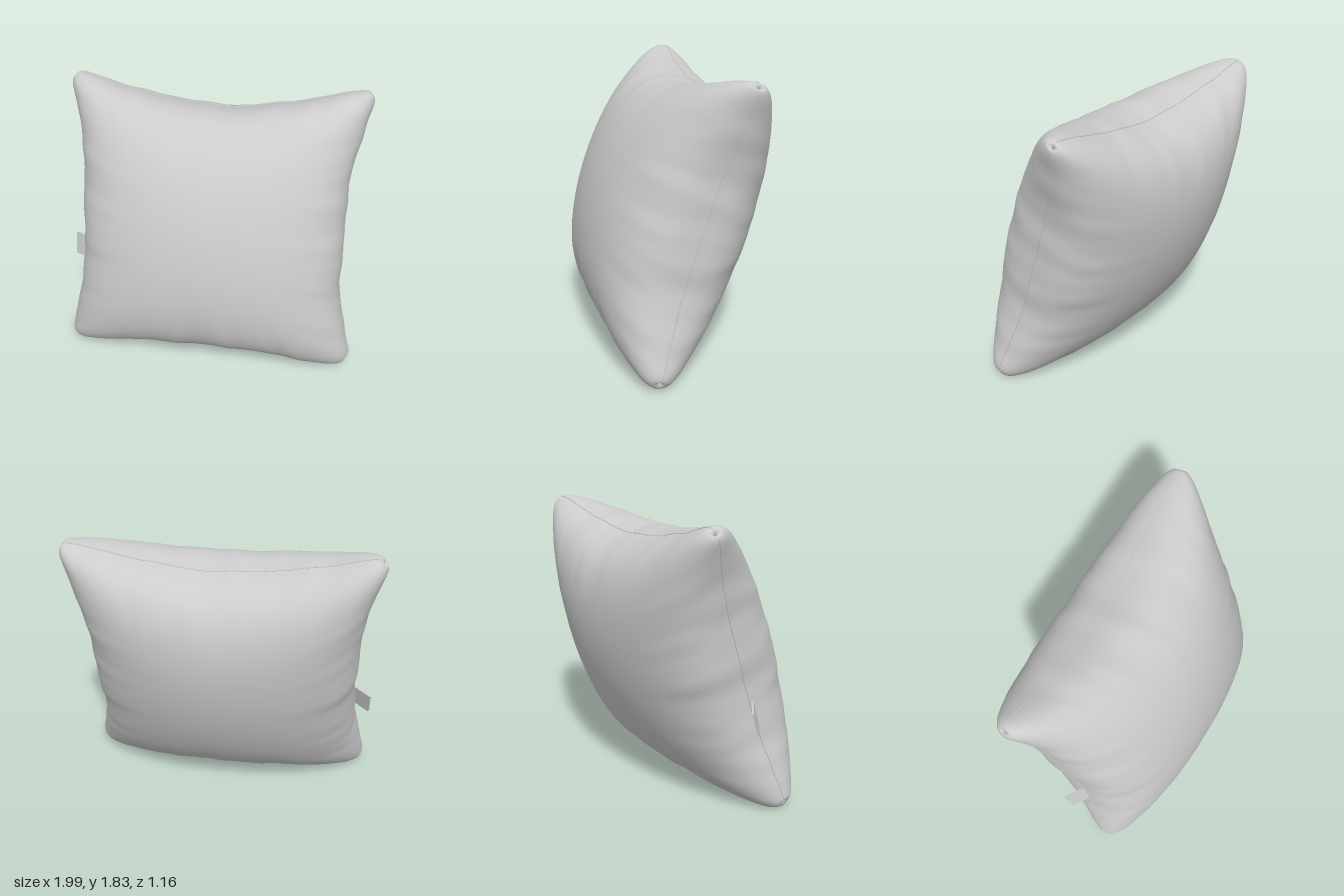
import * as THREE from 'three';

const material = new THREE.MeshStandardMaterial({ color: 0xcccccc, roughness: 0.9, side: THREE.DoubleSide });

// Gentle irregular folds along an edge, about -1 to 1
const folds = (t, seed) =>
  0.45 * Math.sin(9 * t + seed) + 0.35 * Math.sin(17 * t + 2.3 * seed) + 0.2 * Math.sin(31 * t + 4.1 * seed);

// In-plane outline: rounded corners, edges drawn in at the middle, the top edge most
function outline(a, b) {
  const corner = 0.18 * Math.abs(a * b) ** 8;
  const pullX = 0.255 * (1 - Math.abs(b) ** 3);
  const pullY = (0.235 + 0.05 * b) * (1 - a * a);
  const rippleX = 0.01 * a ** 8 * (1 - b ** 4) * folds(b, 1 + a);
  const rippleY = 0.01 * b ** 8 * (1 - a ** 4) * folds(a, 3 + b);
  return [
    a * (1.135 - pullX - corner + rippleX),
    b * (1.065 - pullY - corner + rippleY),
  ];
}

// Loft of the stuffing: blunt at the edges, wedge-shaped at the corners, creased near the seams
function loft(a, b, side) {
  const u = Math.max(0, 1 - a * a), v = Math.max(0, 1 - b * b);
  const depth = side > 0 ? 0.54 : 0.51;
  const h = depth * (u * v) ** (0.36 + 0.2 * a * a * b * b);
  const creaseX = a ** 6 * v * folds(1.4 * b, 2 + a + side);
  const creaseY = b ** 6 * u * folds(1.4 * a, 5 + b + side);
  return side * h * (1 + 0.07 * (creaseX + creaseY));
}

// One cloth panel; side is +1 for the front and -1 for the back
function panel(name, side) {
  const geometry = new THREE.PlaneGeometry(2, 2, 90, 90);
  if (side < 0) geometry.rotateY(Math.PI);
  const p = geometry.attributes.position;
  for (let i = 0; i < p.count; i++) {
    // Rows crowd toward the seam, where the cloth curves most
    const a = Math.sin(p.getX(i) * Math.PI / 2);
    const b = Math.sin(p.getY(i) * Math.PI / 2);
    const [x, y] = outline(a, b);
    p.setXYZ(i, x, y, loft(a, b, side));
  }
  geometry.computeVertexNormals();
  const mesh = new THREE.Mesh(geometry, material);
  mesh.name = name;
  return mesh;
}

// Fine stitched line around the rim
function seam() {
  const points = [];
  const n = 40;
  const edges = [t => [t, -1], t => [1, t], t => [-t, 1], t => [-1, -t]];
  for (const edge of edges) {
    for (let i = 0; i < n; i++) {
      const [x, y] = outline(...edge(2 * i / n - 1));
      points.push(new THREE.Vector3(x, y, 0));
    }
  }
  const curve = new THREE.CatmullRomCurve3(points, true);
  const mesh = new THREE.Mesh(new THREE.TubeGeometry(curve, 320, 0.004, 6, true), material);
  mesh.name = 'seam';
  return mesh;
}

export function createModel() {
  const model = new THREE.Group();
  model.name = 'pillow';

  // Cushion leaning back
  const cushion = new THREE.Group();
  cushion.name = 'cushion';
  cushion.add(panel('frontPanel', 1), panel('backPanel', -1), seam());
  cushion.position.set(0, 0.925, -0.02);
  cushion.rotation.x = -0.313;

  // Small fabric label sewn into the right-hand seam
  const label = new THREE.Mesh(new THREE.BoxGeometry(0.15, 0.155, 0.012), material);
  label.name = 'label';
  label.position.set(-0.93, -0.285, -0.02);
  label.rotation.set(0, -0.65, 0);
  cushion.add(label);

  model.add(cushion);
  return model;
}
